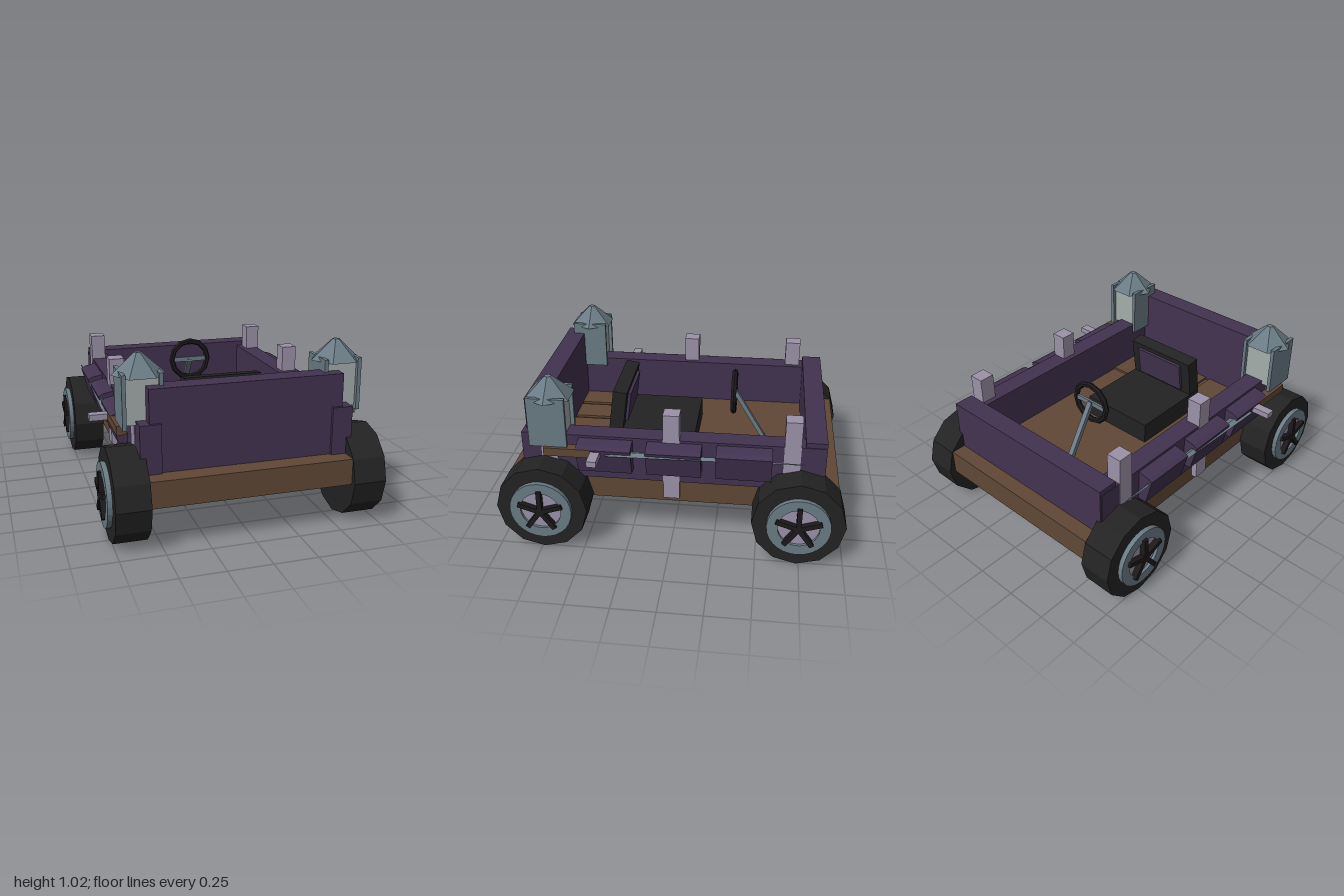
import * as THREE from 'three';

const mat = (name, color) => {
  const m = new THREE.MeshStandardMaterial({ color });
  m.name = name;
  m.flatShading = true;
  return m;
};

export function createModel() {
  const brown = mat('brown wood', 0x604835);
  const purple = mat('purple wood', 0x423350);
  const black = mat('black rubber', 0x232323);
  const dark = mat('dark metal', 0x1c191b);
  const steel = mat('blue grey steel', 0x6a7b85);
  const lilac = mat('lilac', 0x9c92a9);
  const glass = mat('lantern glass', 0xa5aeac);

  const model = new THREE.Group();
  model.name = 'cart';

  const add = (parent, name, geometry, material) => {
    const mesh = new THREE.Mesh(geometry, material);
    mesh.name = name;
    parent.add(mesh);
    return mesh;
  };
  // Box given by its lower and upper corners
  const box = (parent, name, material, x0, x1, y0, y1, z0, z1) => {
    const mesh = add(parent, name, new THREE.BoxGeometry(x1 - x0, y1 - y0, z1 - z0), material);
    mesh.position.set((x0 + x1) / 2, (y0 + y1) / 2, (z0 + z1) / 2);
    return mesh;
  };
  const group = (parent, name) => {
    const g = new THREE.Group();
    g.name = name;
    parent.add(g);
    return g;
  };

  // Chassis, end walls and floor slats
  box(model, 'chassis', brown, -0.57, 0.57, 0.25, 0.4, -0.96, 0.96);
  box(model, 'frontWall', purple, -0.545, 0.545, 0.4, 0.86, 0.728, 0.848);
  box(model, 'backWall', purple, -0.595, 0.595, 0.4, 0.703, -0.87, -0.75);
  for (let i = -2; i <= 2; i++) {
    box(model, 'floorSlat', brown, i * 0.197 - 0.083, i * 0.197 + 0.083, 0.4, 0.415, 0.4, 0.73);
  }

  // Seat with a tilted backrest
  const seat = group(model, 'seat');
  box(seat, 'cushion', black, -0.237, 0.237, 0.4, 0.53, -0.1, 0.41);
  const backrest = group(seat, 'backrest');
  backrest.position.set(0, 0.5, 0.4);
  backrest.rotation.x = -0.13;
  box(backrest, 'backrestFrame', black, -0.235, 0.235, -0.09, 0.275, -0.05, 0.035);
  box(backrest, 'backrestPad', purple, -0.17, 0.17, 0.06, 0.245, -0.068, -0.05);

  // Steering wheel and column
  const steering = group(model, 'steering');
  const ring = add(steering, 'steeringRing', new THREE.TorusGeometry(0.122, 0.018, 6, 12), dark);
  ring.position.set(0, 0.705, -0.32);
  box(steering, 'steeringSpoke', steel, -0.11, 0.11, 0.69, 0.72, -0.33, -0.315);
  const top = new THREE.Vector3(0, 0.71, -0.325);
  const foot = new THREE.Vector3(0, 0.4, -0.51);
  const column = add(steering, 'steeringColumn', new THREE.BoxGeometry(0.032, top.distanceTo(foot), 0.026), steel);
  column.position.copy(top).add(foot).multiplyScalar(0.5);
  column.rotation.x = Math.atan2(top.z - foot.z, top.y - foot.y);

  // Side panel section, leaning outwards, extruded along z
  const panelShape = new THREE.Shape([
    [0.59, 0.47], [0.65, 0.47], [0.692, 0.63], [0.665, 0.645], [0.59, 0.66],
  ].map(([x, y]) => new THREE.Vector2(x, y)));

  // Steel wheel rim with an open middle
  const rimShape = new THREE.Shape().absarc(0, 0, 0.18, 0, Math.PI * 2);
  rimShape.holes.push(new THREE.Path().absarc(0, 0, 0.118, 0, Math.PI * 2, true));
  const rimGeometry = new THREE.ExtrudeGeometry(rimShape, { depth: 0.035, bevelEnabled: false, curveSegments: 14 });

  // Flat tapering blade lofted from diamond sections: z, half width, half height
  const sections = [
    [0.36, 0.036, 0.002], [0.27, 0.035, 0.012], [-0.25, 0.021, 0.013],
    [-0.29, 0.018, 0.008], [-0.75, 0.003, 0.003],
  ];
  const bladeGeometry = () => {
    const points = [], faces = [];
    sections.forEach(([z, w, h], i) => {
      points.push(w, 0, z, 0, h, z, -w, 0, z, 0, -h, z);
      if (i === 0) return;
      for (let k = 0; k < 4; k++) {
        const a = (i - 1) * 4 + k, b = (i - 1) * 4 + (k + 1) % 4;
        faces.push(a, b + 4, b, a, a + 4, b + 4);
      }
    });
    const e = points.length / 3 - 4;
    faces.push(0, 1, 2, 0, 2, 3, e, e + 2, e + 1, e, e + 3, e + 2);
    const g = new THREE.BufferGeometry();
    g.setAttribute('position', new THREE.Float32BufferAttribute(points, 3));
    g.setIndex(faces);
    g.computeVertexNormals();
    return g;
  };

  // Wheel facing +z, turned outwards by its caller
  const makeWheel = () => {
    const wheel = new THREE.Group();
    wheel.name = 'wheel';
    const disc = (name, r, z0, z1, sides, material) => {
      const m = add(wheel, name, new THREE.CylinderGeometry(r, r, z1 - z0, sides), material);
      m.rotation.set(Math.PI / 2, Math.PI / 2, 0, 'XYZ');
      m.position.z = (z0 + z1) / 2;
    };
    disc('tyre', 0.265, 0, 0.19, 12, black);
    disc('hubPlate', 0.125, 0.18, 0.2, 14, lilac);
    add(wheel, 'rim', rimGeometry, steel).position.z = 0.182;
    for (let i = 0; i < 5; i++) {
      const arm = group(wheel, 'spokeArm');
      arm.rotation.z = i * Math.PI * 2 / 5;
      box(arm, 'spoke', dark, -0.014, 0.014, 0, 0.134, 0.19, 0.234);
    }
    return wheel;
  };

  for (const s of [1, -1]) {
    // Mirrored box for one side
    const sideBox = (parent, name, material, x0, x1, ...rest) =>
      box(parent, name, material, s > 0 ? x0 : -x1, s > 0 ? x1 : -x0, ...rest);
    const side = group(model, s > 0 ? 'leftSide' : 'rightSide');

    // Wall, outer panels and posts
    sideBox(side, 'sideWall', purple, 0.483, 0.6, 0.4, 0.673, -0.86, 0.865);
    for (const z of [-0.57, -0.175, 0.22]) {
      const g = new THREE.ExtrudeGeometry(panelShape, { depth: 0.312, bevelEnabled: false });
      if (s < 0) g.rotateY(Math.PI).translate(0, 0, 0.312);
      add(side, 'sidePanel', g, purple).position.z = z;
    }
    for (const z of [-0.68, 0, 0.705]) {
      sideBox(side, 'post', lilac, 0.515, 0.605, 0.29, 0.83, z - 0.047, z + 0.047);
    }

    // Blade with guard and grip
    const sword = group(side, 'sword');
    add(sword, 'blade', bladeGeometry(), steel).position.set(s * 0.667, 0.605, 0);
    sideBox(sword, 'guard', lilac, 0.54, 0.795, 0.585, 0.62, 0.392, 0.447);
    sideBox(sword, 'grip', brown, 0.637, 0.693, 0.582, 0.632, 0.447, 0.715);

    // Lantern
    const lantern = group(side, 'lantern');
    sideBox(lantern, 'lanternGlass', glass, 0.472, 0.655, 0.65, 0.9, 0.605, 0.775);
    sideBox(lantern, 'outerPlate', steel, 0.652, 0.674, 0.63, 0.928, 0.582, 0.798);
    sideBox(lantern, 'innerPlate', steel, 0.453, 0.475, 0.63, 0.928, 0.582, 0.798);
    const roof = add(lantern, 'lanternRoof', new THREE.CylinderGeometry(0.02, 0.145, 0.115, 6), steel);
    roof.rotation.y = Math.PI / 6;
    roof.position.set(s * 0.564, 0.963, 0.69);

    // Wheels
    for (const z of [0.735, -0.735]) {
      const wheel = makeWheel();
      wheel.rotation.y = s * Math.PI / 2;
      wheel.position.set(s * 0.57, 0.265, z);
      side.add(wheel);
    }
  }
  return model;
}
